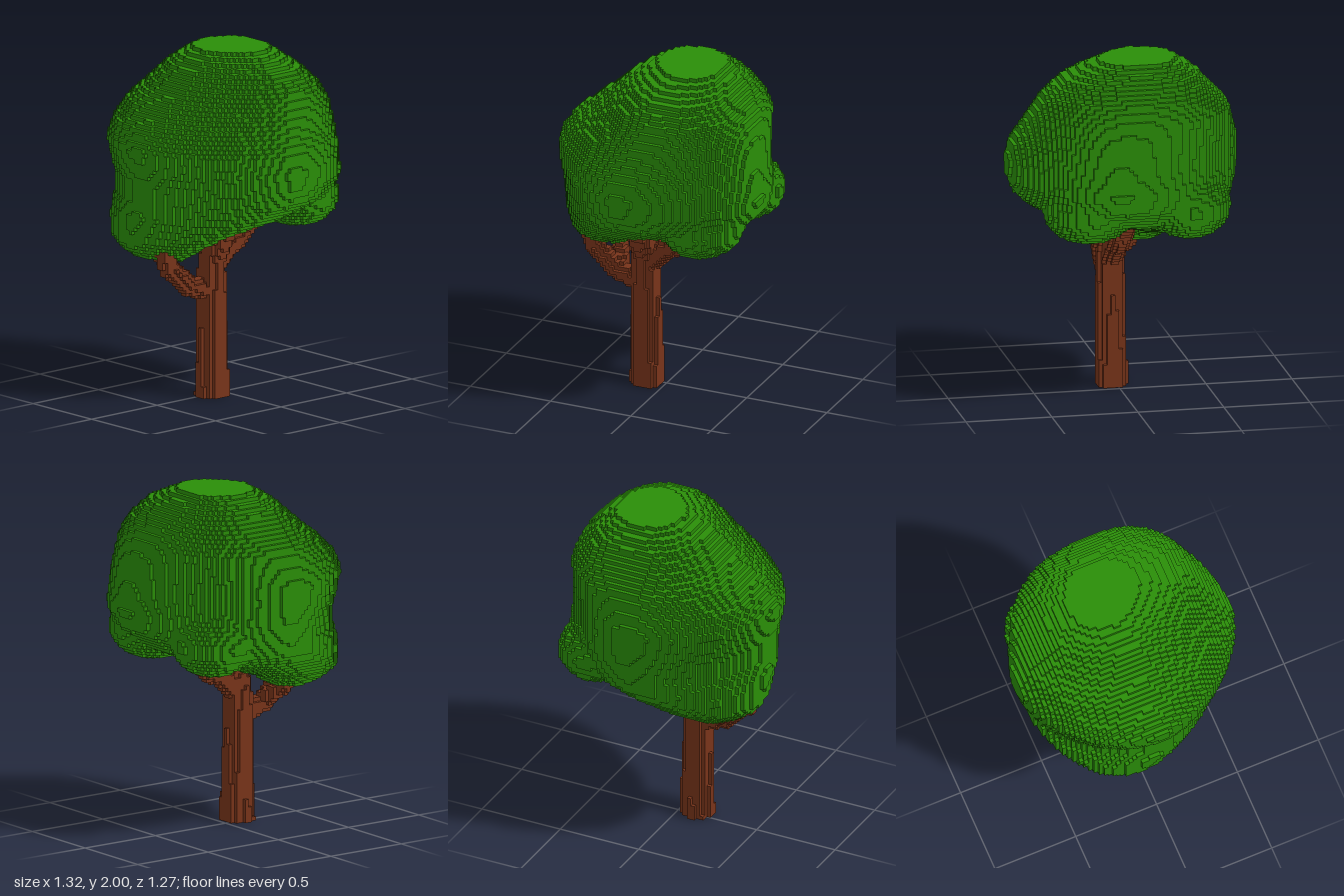
import * as THREE from 'three';

const V = 2 / 88; // cube size
const { lerp, clamp, smoothstep } = THREE.MathUtils;

// Fill a cell range with cubes wherever inside(x, y, z) holds; keep exposed faces only
function voxelMesh(name, color, min, max, inside) {
  const size = max.map((m, i) => m - min[i]);
  const cells = new Uint8Array(size[0] * size[1] * size[2]);
  const index = (c) => (c[0] * size[1] + c[1]) * size[2] + c[2];
  const filled = (c) => c.every((n, i) => n >= 0 && n < size[i]) && cells[index(c)] === 1;
  const each = (fn) => {
    for (let i = 0; i < size[0]; i++)
      for (let j = 0; j < size[1]; j++)
        for (let k = 0; k < size[2]; k++) fn([i, j, k]);
  };
  each((c) => {
    const [x, y, z] = c.map((n, i) => (n + min[i] + 0.5) * V);
    cells[index(c)] = inside(x, y, z) ? 1 : 0;
  });

  const positions = [], normals = [], indices = [];
  each((c) => {
    if (!filled(c)) return;
    for (let d = 0; d < 3; d++) {
      for (const s of [-1, 1]) {
        const next = [...c];
        next[d] += s;
        if (filled(next)) continue;
        const u = (d + 1) % 3, w = (d + 2) % 3, base = positions.length / 3;
        for (const [a, b] of [[0, 0], [1, 0], [1, 1], [0, 1]]) {
          const p = c.map((n, i) => n + min[i]);
          p[u] += a;
          p[w] += b;
          if (s > 0) p[d] += 1;
          positions.push(...p.map((n) => n * V));
          const normal = [0, 0, 0];
          normal[d] = s;
          normals.push(...normal);
        }
        const order = s > 0 ? [0, 1, 2, 0, 2, 3] : [0, 2, 1, 0, 3, 2];
        indices.push(...order.map((n) => n + base));
      }
    }
  });
  const geometry = new THREE.BufferGeometry();
  geometry.setAttribute('position', new THREE.Float32BufferAttribute(positions, 3));
  geometry.setAttribute('normal', new THREE.Float32BufferAttribute(normals, 3));
  geometry.setIndex(indices);
  const mesh = new THREE.Mesh(geometry, new THREE.MeshStandardMaterial({ color }));
  mesh.name = name;
  return mesh;
}

// Inside test for a chain of tapered round limbs; points are [x, y, z, radius]
function limb(points) {
  const p = new THREE.Vector3(), ab = new THREE.Vector3(), ap = new THREE.Vector3();
  const nodes = points.map(([x, y, z, r]) => ({ at: new THREE.Vector3(x, y, z), r }));
  return (x, y, z) => {
    p.set(x, y, z);
    for (let i = 0; i < nodes.length - 1; i++) {
      const a = nodes[i], b = nodes[i + 1];
      ab.subVectors(b.at, a.at);
      ap.subVectors(p, a.at);
      const t = clamp(ap.dot(ab) / ab.lengthSq(), 0, 1);
      if (ap.addScaledVector(ab, -t).length() < lerp(a.r, b.r, t)) return true;
    }
    return false;
  };
}

// Crown slices: height, x min, x max, z min, z max, x of the rearmost point, z of the widest point at +x
const SLICES = [
  [0.82, -0.28, 0.0, 0.22, 0.38, -0.14, 0.3],
  [0.85, -0.33, 0.06, 0.16, 0.5, -0.14, 0.35],
  [0.9, -0.41, 0.16, 0.08, 0.57, -0.14, 0.36],
  [0.95, -0.49, 0.25, -0.07, 0.6, -0.15, 0.36],
  [0.98, -0.52, 0.3, -0.15, 0.6, -0.12, 0.34],
  [1.03, -0.57, 0.38, -0.32, 0.605, -0.08, 0.28],
  [1.1, -0.615, 0.5, -0.5, 0.61, 0.0, 0.15],
  [1.2, -0.63, 0.61, -0.61, 0.59, 0.08, 0.05],
  [1.3, -0.65, 0.65, -0.63, 0.59, 0.13, 0.04],
  [1.4, -0.66, 0.655, -0.61, 0.62, 0.13, 0.04],
  [1.5, -0.66, 0.63, -0.6, 0.635, 0.12, 0.03],
  [1.6, -0.63, 0.57, -0.59, 0.57, 0.1, 0.0],
  [1.7, -0.6, 0.53, -0.57, 0.45, 0.05, -0.06],
  [1.8, -0.51, 0.48, -0.52, 0.33, 0.0, -0.1],
  [1.9, -0.42, 0.37, -0.43, 0.22, -0.03, -0.11],
  [1.95, -0.35, 0.26, -0.37, 0.15, -0.05, -0.11],
  [2.0, -0.27, 0.13, -0.31, 0.06, -0.07, -0.125],
];

// Each slice is a lopsided superellipse with its own roundness per quadrant; positive is inside
function sliceField(x, y, z) {
  let i = 0;
  while (i < SLICES.length - 2 && SLICES[i + 1][0] < y) i++;
  const a = SLICES[i], b = SLICES[i + 1];
  const t = (y - a[0]) / (b[0] - a[0]);
  const [, x0, x1, z0, z1, backX, wideZ] = a.map((v, n) => lerp(v, b[n], t));
  const mid = (x0 + x1) / 2;
  const zc = x > mid ? wideZ : (z0 + z1) / 2;
  const front = z > zc;
  const xc = front ? mid : backX;
  const u = (x - xc) / (x > xc ? x1 - xc : x0 - xc);
  const w = (z - zc) / (front ? z1 - zc : z0 - zc);
  const lower = smoothstep(y, 0.98, 1.2), upper = smoothstep(y, 1.4, 1.8);
  let n;
  if (front) n = x > xc ? lerp(1.62, 1.5, upper) : lerp(1.9, 2.35, upper);
  else n = x > xc ? lerp(lerp(1.05, 2, lower), 2.4, upper) : lerp(1.95, 2.4, upper);
  return 1 - u ** n - w ** n;
}

// Low bulges at the two rear corners: centre, then radii
const BULGES = [
  [-0.33, 1.16, -0.34, 0.23, 0.175, 0.22],
  [0.25, 1.15, -0.33, 0.25, 0.165, 0.23],
];

// Slices and bulges, softly blended together
function insideCrown(x, y, z) {
  if (y < SLICES[0][0]) return false;
  let field = sliceField(x, y, z);
  for (const [cx, cy, cz, rx, ry, rz] of BULGES) {
    const bulge = 1 - ((x - cx) / rx) ** 2 - ((y - cy) / ry) ** 2 - ((z - cz) / rz) ** 2;
    const blend = Math.max(0, 0.3 - Math.abs(field - bulge));
    field = Math.max(field, bulge) + blend ** 2 / 1.2;
  }
  return field > 0;
}

export function createModel() {
  const tree = new THREE.Group();
  tree.name = 'tree';

  // Trunk and its branches, joined into one blocky body
  const limbs = [
    // trunk, leaning to its left at the top
    [[0.03, -0.1, 0.105, 0.094], [0.034, 0.7, 0.115, 0.075], [0.036, 0.8, 0.115, 0.07], [0.19, 1.1, 0.11, 0.06]],
    // rear branch
    [[0.032, 0.76, 0.09, 0.06], [0.03, 0.86, -0.01, 0.058], [0.025, 0.9, -0.1, 0.058], [0.01, 1.1, -0.28, 0.055]],
    // front branch
    [[0.03, 0.62, 0.12, 0.06], [0.03, 0.67, 0.29, 0.052], [0.03, 0.8, 0.44, 0.05], [0.02, 0.93, 0.47, 0.045]],
    // side twig on the front branch
    [[0.01, 0.69, 0.28, 0.045], [-0.1, 0.77, 0.33, 0.042], [-0.2, 0.88, 0.35, 0.04]],
  ].map(limb);
  tree.add(voxelMesh('trunkAndBranches', 0x78341a, [-12, 0, -18], [12, 52, 26],
    (x, y, z) => limbs.some((inside) => inside(x, y, z))));

  // Leafy crown
  tree.add(voxelMesh('crown', 0x2a8e08, [-29, 35, -28], [29, 88, 28], insideCrown));
  return tree;
}
